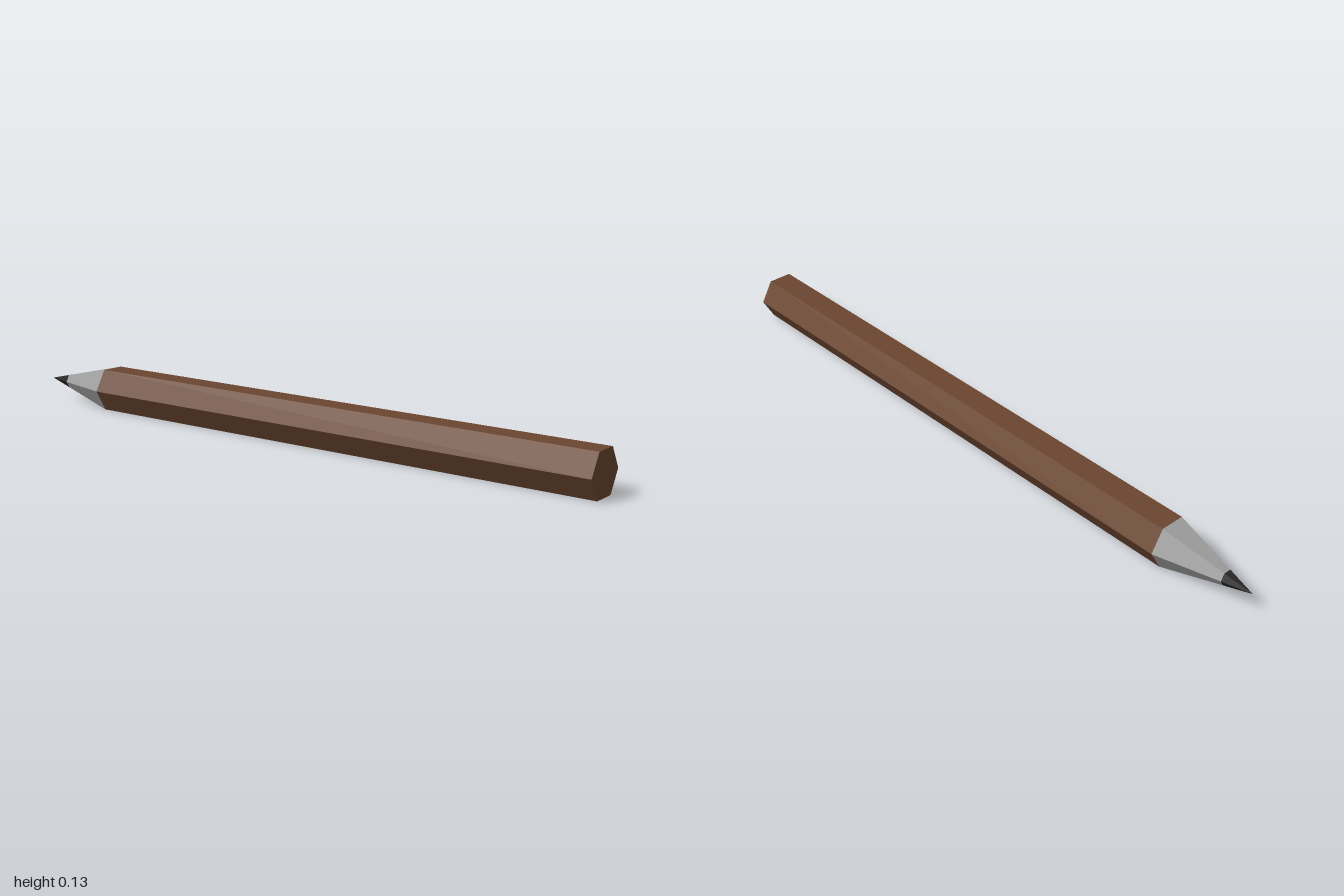
import * as THREE from 'three';

const RADIUS = 0.074;
const AXIS_Y = RADIUS * Math.sqrt(3) / 2;
const SHOULDER_Z = -0.725, LEAD_Z = -0.915, TIP_Z = -1;

const material = (name, color) => {
  const m = new THREE.MeshStandardMaterial({ color, flatShading: true });
  m.name = name;
  return m;
};

// Hexagonal section lying along z, narrowing towards the tip at -z
function hexSection(name, zStart, zEnd, rStart, rEnd, mat, open) {
  const geometry = new THREE.CylinderGeometry(rEnd, rStart, zStart - zEnd, 6, 1, open, Math.PI / 6);
  geometry.rotateX(-Math.PI / 2);
  const mesh = new THREE.Mesh(geometry, mat);
  mesh.name = name;
  mesh.position.set(0, AXIS_Y, (zStart + zEnd) / 2);
  return mesh;
}

export function createModel() {
  const pencil = new THREE.Group();
  pencil.name = 'pencil';

  const brown = material('brown paint', 0x6b4630);
  const grey = material('sharpened grey', 0x9e9e9e);
  const black = material('dark lead', 0x262425);

  // The sharpened end and the lead share one taper
  const leadRadius = RADIUS * (LEAD_Z - TIP_Z) / (SHOULDER_Z - TIP_Z);

  pencil.add(
    hexSection('barrel', 1, SHOULDER_Z, RADIUS, RADIUS, brown, false),
    hexSection('sharpenedEnd', SHOULDER_Z, LEAD_Z, RADIUS, leadRadius, grey, true),
    hexSection('leadTip', LEAD_Z, TIP_Z, leadRadius, 0, black, true)
  );
  return pencil;
}
